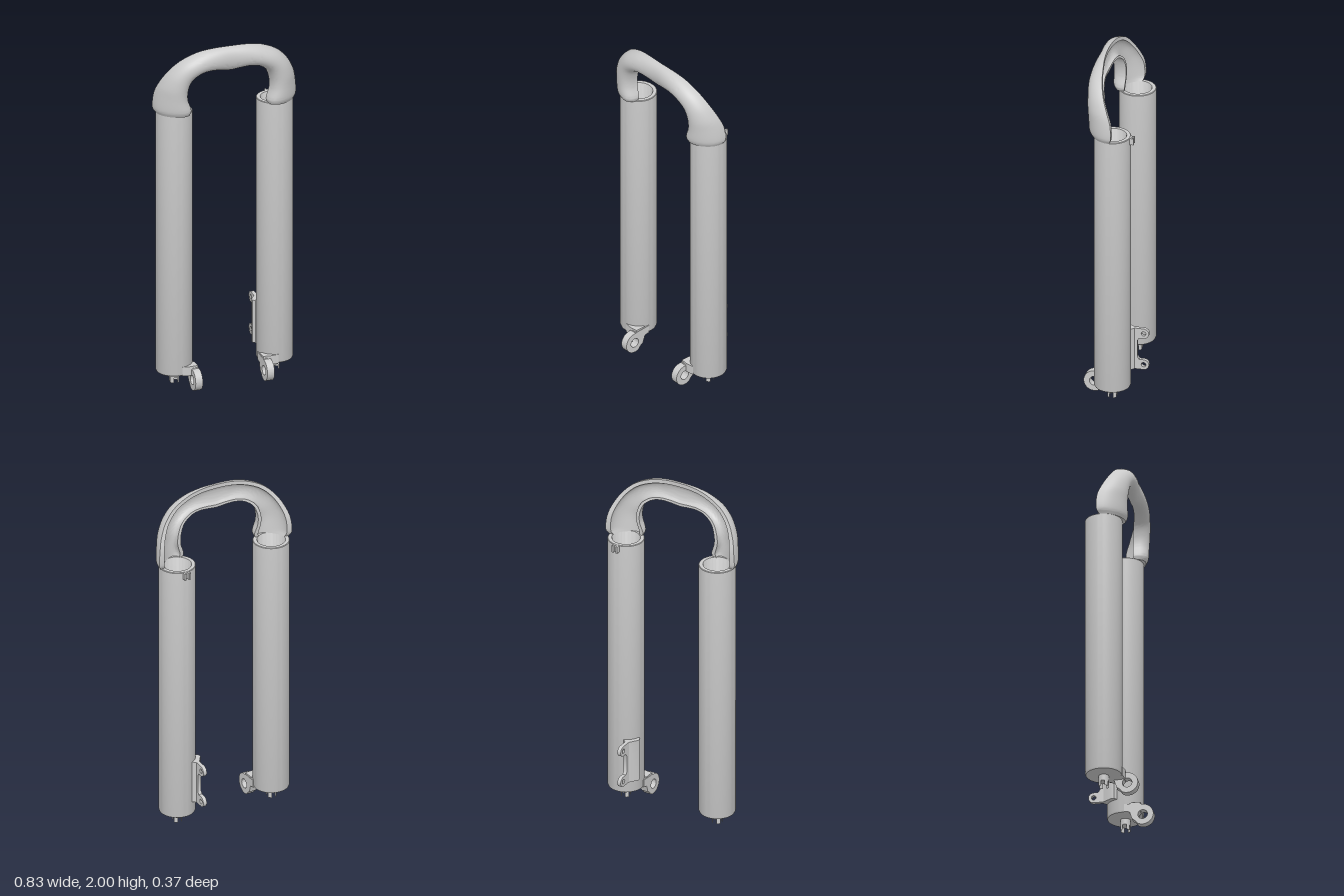
import * as THREE from 'three';
import { toCreasedNormals } from 'three/addons/utils/BufferGeometryUtils.js';

const LEG_X = 0.293, LEG_Z = 0.006;

export function createModel() {
  const model = new THREE.Group();
  model.name = 'forkLowers';
  const mat = new THREE.MeshStandardMaterial({ color: 0xcccccc, side: THREE.DoubleSide });

  function add(name, geo, parent = model) {
    const mesh = new THREE.Mesh(geo, mat);
    mesh.name = name;
    parent.add(mesh);
    return mesh;
  }
  const crease = (g) => toCreasedNormals(g, 0.6);
  const polygon = (pts) => new THREE.Shape(pts.map(([a, b]) => new THREE.Vector2(a, b)));
  const hole = (shape, a, b, r) =>
    shape.holes.push(new THREE.Path().absarc(a, b, r, 0, Math.PI * 2, true));

  // Extrude a (z, y) outline sideways, between x0 and x1
  function sidePlate(shape, x0, x1) {
    const g = new THREE.ExtrudeGeometry(shape, { depth: x1 - x0, bevelEnabled: false, curveSegments: 24 });
    g.rotateY(-Math.PI / 2).translate(x1, 0, 0);
    return crease(g);
  }
  // Extrude an (x, -z) outline upwards, between y0 and y1
  function upright(shape, y0, y1) {
    const g = new THREE.ExtrudeGeometry(shape, { depth: y1 - y0, bevelEnabled: false, curveSegments: 12 });
    g.rotateX(-Math.PI / 2).translate(0, y0, 0);
    return crease(g);
  }

  // Tube profile: closed chamfered bottom, open bored top
  const tubeProfile = [
    [0, 0.08], [0.09, 0.08], [0.098, 0.085], [0.102, 0.095], [0.102, 1.622], [0.099, 1.625],
    [0.079, 1.625], [0.076, 1.62], [0.076, 0.13], [0, 0.13],
  ].map(([r, y]) => new THREE.Vector2(r, y));

  for (const s of [1, -1]) {
    const leg = new THREE.Group();
    leg.name = s > 0 ? 'leftLeg' : 'rightLeg';
    model.add(leg);

    const tube = add('tube', crease(new THREE.LatheGeometry(tubeProfile, 64)), leg);
    tube.position.set(s * LEG_X, 0, LEG_Z);

    // Foot bolt: short stud ending in four prongs
    const stud = add('footStud', new THREE.CylinderGeometry(0.028, 0.028, 0.045, 24), leg);
    stud.position.set(s * LEG_X, 0.0675, LEG_Z);
    const sector = new THREE.Shape();
    sector.moveTo(0.01, 0.01);
    sector.absarc(0, 0, 0.028, 0.37, Math.PI / 2 - 0.37, false);
    for (let i = 0; i < 4; i++) {
      const prong = add('footProng', upright(sector, 0.015, 0.046), leg);
      prong.position.set(s * LEG_X, 0, LEG_Z);
      prong.rotation.y = (i * Math.PI) / 2;
    }

    // Axle eye with the arm that joins it to the tube
    const eye = new THREE.Shape();
    eye.moveTo(0.02, 0.13);
    eye.lineTo(0.115, 0.123);
    eye.absarc(0.124, 0.06, 0.06, 1.7, -2.1, true);
    eye.quadraticCurveTo(0.08, 0.03, 0.065, 0.035);
    eye.lineTo(0.05, 0.08);
    eye.lineTo(0.02, 0.085);
    hole(eye, 0.124, 0.06, 0.027);
    const [x0, x1] = s > 0 ? [0.188, 0.23] : [-0.23, -0.188];
    add('axleEye', sidePlate(eye, x0, x1), leg);

    // Web tapering from the eye to the front of the tube
    const web = polygon([[s * 0.19, -0.05], [s * 0.19, -0.11], [s * 0.235, -0.115],
      [s * 0.28, -0.108], [s * 0.28, -0.085], [s * 0.225, -0.05]]);
    add('axleWeb', upright(web, 0.082, 0.135), leg);
  }

  // Brake mount at the back of the left leg
  const mount = new THREE.Group();
  mount.name = 'brakeMount';
  model.add(mount);
  const ears = new THREE.Shape();
  ears.moveTo(-0.08, 0.165);
  ears.lineTo(-0.155, 0.165);
  ears.absarc(-0.155, 0.195, 0.03, -Math.PI / 2, Math.PI / 2, true);
  ears.lineTo(-0.13, 0.225);
  ears.lineTo(-0.12, 0.24);
  ears.lineTo(-0.12, 0.34);
  ears.lineTo(-0.13, 0.355);
  ears.lineTo(-0.155, 0.355);
  ears.absarc(-0.155, 0.385, 0.03, -Math.PI / 2, Math.PI / 2, true);
  ears.lineTo(-0.08, 0.415);
  hole(ears, -0.155, 0.195, 0.013);
  hole(ears, -0.155, 0.385, 0.013);
  add('brakeEars', sidePlate(ears, 0.211, 0.232), mount);
  const pad = polygon([[0.211, 0.1], [0.232, 0.105], [0.258, 0.082], [0.215, 0.022],
    [0.192, 0.02], [0.179, 0.035], [0.179, 0.052]]);
  add('brakePad', upright(pad, 0.165, 0.415), mount);

  // Small forked hose guide at the top of the left leg
  const guide = polygon([[0.275, 0.09], [0.311, 0.09], [0.311, 0.118], [0.302, 0.118],
    [0.3, 0.104], [0.286, 0.104], [0.284, 0.118], [0.275, 0.118]]);
  add('hoseGuide', upright(guide, 1.585, 1.624));

  add('arch', archGeometry());
  return model;
}

// Arch: crescent sections, hollow at the back, lofted from one foot to the other
function archGeometry() {
  // outer edge x y z, inner edge x y z, front depth, back depth
  const half = [
    [0.398, 1.622, 0.0, 0.228, 1.622, 0.068, 0.116, 0.084],
    [0.414, 1.655, -0.012, 0.221, 1.65, 0.064, 0.129, 0.084],
    [0.407, 1.735, -0.008, 0.24, 1.71, 0.06, 0.132, 0.085],
    [0.387, 1.8, 0.015, 0.238, 1.77, 0.06, 0.14, 0.088],
    [0.345, 1.872, 0.045, 0.215, 1.825, 0.068, 0.148, 0.1],
    [0.28, 1.935, 0.068, 0.165, 1.86, 0.08, 0.156, 0.112],
    [0.19, 1.978, 0.083, 0.11, 1.87, 0.088, 0.157, 0.12],
    [0.1, 1.996, 0.095, 0.055, 1.866, 0.093, 0.154, 0.12],
    [0, 2.0, 0.1, 0, 1.86, 0.095, 0.15, 0.12],
  ];
  const mirrored = half.slice(0, -1).reverse()
    .map(([a, b, c, d, e, f, g, h]) => [-a, b, c, -d, e, f, g, h]);
  const rows = [...half, ...mirrored];
  const spline = (pick) => new THREE.CatmullRomCurve3(
    rows.map((r) => new THREE.Vector3(...pick(r))), false, 'catmullrom', 0.5);
  const outer = spline((r) => r.slice(0, 3));
  const inner = spline((r) => r.slice(3, 6));
  const depth = spline((r) => [r[6], r[7], 0]);

  const STEPS = 112, N = 21, RING = 2 * N;
  const pos = [], idx = [];
  for (let i = 0; i <= STEPS; i++) {
    const t = i / STEPS;
    const o = outer.getPoint(t), n = inner.getPoint(t), d = depth.getPoint(t);
    const midZ = (o.z + n.z) / 2;
    for (let j = 0; j < RING; j++) {
      const front = j < N;
      const a = (Math.PI * (front ? j : RING - 1 - j)) / (N - 1);
      let u = (1 - Math.cos(a)) / 2;
      // the back face starts inside the rim, which leaves a blunt lip
      if (!front) u = 0.17 + 0.71 * u;
      const bulge = Math.sin(a) ** 0.85 * ((front ? d.x : d.y) - midZ);
      const p = o.clone().lerp(n, u);
      const z = o.z + (n.z - o.z) * (1 - Math.cos(a)) / 2 + bulge;
      pos.push(p.x, p.y, z);
    }
  }
  for (let i = 0; i < STEPS; i++) {
    for (let j = 0; j < RING; j++) {
      const a = i * RING + j, b = i * RING + ((j + 1) % RING);
      idx.push(a, a + RING, b, b, a + RING, b + RING);
    }
  }
  // Close both feet
  const last = STEPS * RING;
  for (let k = 0; k < N - 1; k++) {
    const f = k, b = RING - 1 - k;
    idx.push(f, f + 1, b, f + 1, b - 1, b);
    idx.push(last + f, last + b, last + f + 1, last + f + 1, last + b, last + b - 1);
  }
  const geo = new THREE.BufferGeometry();
  geo.setAttribute('position', new THREE.Float32BufferAttribute(pos, 3));
  geo.setIndex(idx);
  return toCreasedNormals(geo, 0.7);
}
